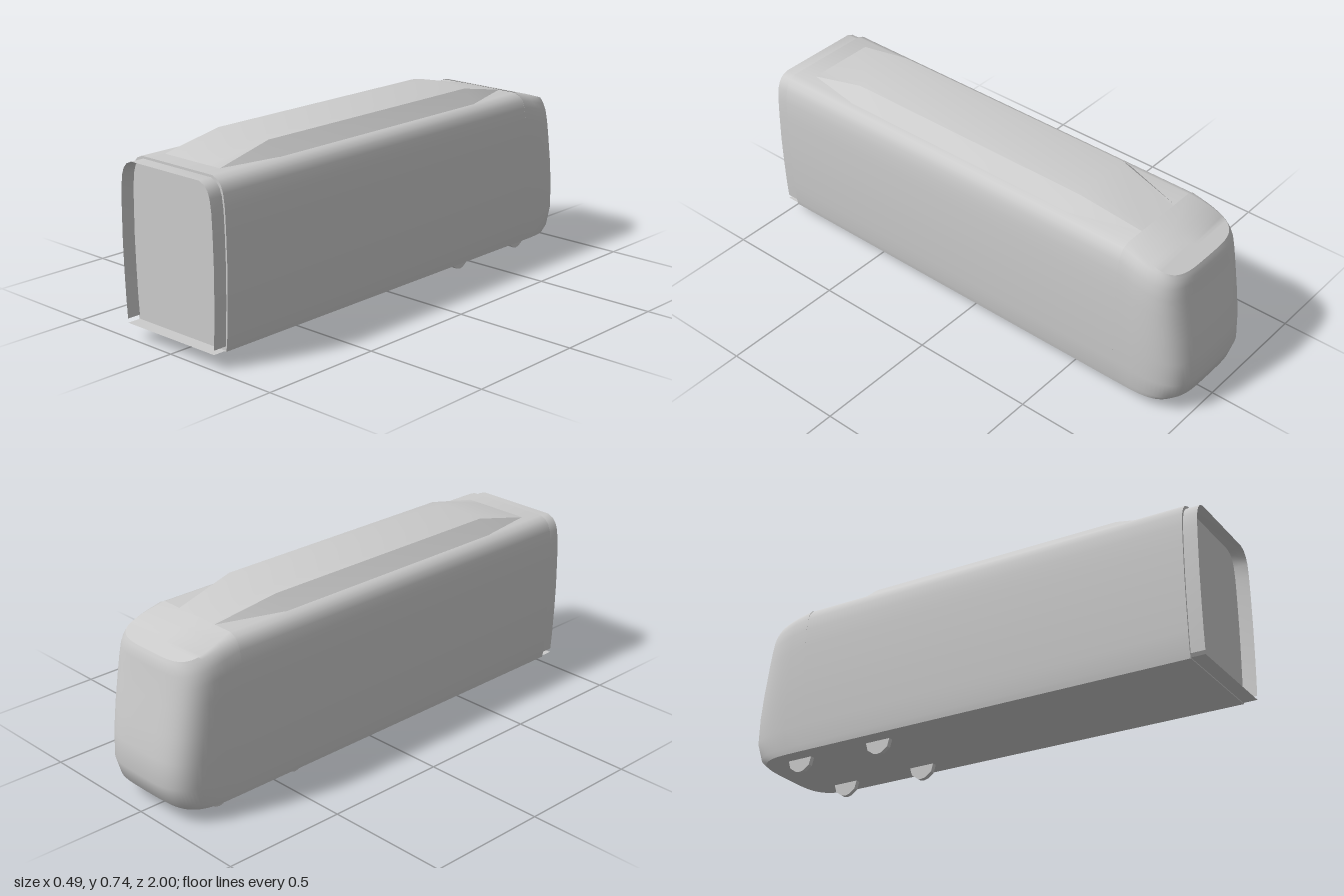
import * as THREE from 'three';
import { toCreasedNormals } from 'three/addons/utils/BufferGeometryUtils.js';

const shell = new THREE.MeshStandardMaterial({ color: 0xcccccc, side: THREE.DoubleSide });
shell.name = 'light grey';

// Half cross-section of the carriage, bottom to roof: [x, y]
const SECTION = [
  [0.23, 0.055], [0.235, 0.08], [0.24, 0.16], [0.244, 0.27], [0.246, 0.38], [0.244, 0.5],
  [0.241, 0.575], [0.234, 0.625], [0.224, 0.651], [0.208, 0.669], [0.182, 0.68],
];

// Skin a grid of points (rows of equal length)
function loft(rows, crease) {
  const n = rows[0].length, index = [];
  for (let r = 0; r < rows.length - 1; r++) {
    for (let c = 0; c < n - 1; c++) {
      const a = r * n + c, b = a + 1, d = a + n, e = d + 1;
      index.push(a, b, d, b, e, d);
    }
  }
  const g = new THREE.BufferGeometry();
  g.setAttribute('position', new THREE.Float32BufferAttribute(rows.flat(2), 3));
  g.setIndex(index);
  return toCreasedNormals(g, crease);
}

// Piecewise linear lookup in [[key, value], ...] with rising keys
function lookup(table, k) {
  for (let i = 1; i < table.length; i++) {
    const [k0, v0] = table[i - 1], [k1, v1] = table[i];
    if (k <= k1) return THREE.MathUtils.lerp(v0, v1, Math.max(0, (k - k0) / (k1 - k0)));
  }
  return table[table.length - 1][1];
}

const mirrored = (half) => [...half, ...half.slice().reverse().map(([x, y]) => [-x, y])];

// Constant-section carriage body with closed ends
function bodyGeometry() {
  const shape = new THREE.Shape(mirrored(SECTION).map(([x, y]) => new THREE.Vector2(x, y)));
  const g = new THREE.ExtrudeGeometry(shape, { depth: 1.655, bevelEnabled: false });
  g.translate(0, 0, -0.71);
  return toCreasedNormals(g, 0.7);
}

// Cab: stacked outlines with rounded corners, sloping roof and raked nose
function cabGeometry() {
  const back = -0.71, y0 = 0.055, yTop = 0.68, steps = 36;
  const nose = [[0, -0.95], [0.03, -0.972], [0.1, -0.994], [0.23, -1], [0.5, -0.977],
    [0.8, -0.948], [0.96, -0.935], [1, -0.925]];
  const roof = [[-0.93, 0.615], [-0.78, 0.664], [-0.71, 0.682]];
  const row = (w, t, spread) => {
    const points = [];
    for (let i = 0; i <= steps; i++) {
      const a = (Math.PI * i) / steps;
      const cx = Math.sign(Math.cos(a)) * Math.sqrt(Math.abs(Math.cos(a)));
      const cz = Math.sqrt(Math.max(0, Math.sin(a)));
      const top = lookup(roof, back + (-0.925 - back) * cz);
      const width = THREE.MathUtils.lerp(w, Math.max(w, 0.218), cz);
      points.push([spread * width * cx, y0 + (top - y0) * t, back + (lookup(nose, t) - back) * cz]);
    }
    return points;
  };
  const rows = SECTION.map(([x, y]) => row(x, (y - y0) / (yTop - y0), 1));
  return loft([row(0.23, 0, 0), ...rows, row(0.182, 1, 0)], 0.75);
}

// Long roof fairing, tapering down to the roof at both ends
function fairingGeometry() {
  const stations = [[0.88, 0.145, 0.14, 0], [0.63, 0.185, 0.13, 1],
    [-0.45, 0.185, 0.13, 1], [-0.72, 0.1, 0.095, 0]];
  return loft(stations.map(([z, base, top, h]) =>
    mirrored([[base, 0.678], [top, 0.678 + 0.055 * h], [0.08, 0.678 + 0.061 * h]])
      .map(([x, y]) => [x, y, z])), 0.6);
}

// Open gangway hood around the end wall
function hoodGeometry() {
  const half = SECTION.slice(1).map(([x, y]) => [x - 0.007, y - 0.009]);
  half[0][1] = 0.075;
  const rim = mirrored(half);
  return loft([0.94, 1].map((z) => rim.map(([x, y]) => [x, y, z])), 0.7);
}

// Lower half of a wheel showing below the floor
function wheelGeometry() {
  const points = [[-0.055, 0.057], [-0.045, 0.023], [-0.018, 0.004], [0, 0],
    [0.018, 0.004], [0.045, 0.023], [0.055, 0.057]];
  const shape = new THREE.Shape(points.map(([x, y]) => new THREE.Vector2(x, y)));
  const g = new THREE.ExtrudeGeometry(shape, { depth: 0.02, bevelEnabled: false });
  g.translate(0, 0, -0.01);
  g.rotateY(Math.PI / 2);
  return g;
}

export function createModel() {
  const model = new THREE.Group();
  model.name = 'railCar';
  const add = (name, geometry, x = 0, y = 0, z = 0) => {
    const mesh = new THREE.Mesh(geometry, shell);
    mesh.name = name;
    mesh.position.set(x, y, z);
    model.add(mesh);
  };

  add('carBody', bodyGeometry());
  add('cab', cabGeometry());
  add('roofFairing', fairingGeometry());
  add('gangwayHood', hoodGeometry());

  // Thin floor of the gangway
  const floor = new THREE.PlaneGeometry(0.456, 0.06);
  floor.rotateX(-Math.PI / 2);
  add('gangwayFloor', floor, 0, 0.059, 0.97);

  // Two axles under the cab end
  const wheel = wheelGeometry();
  for (const z of [-0.4, -0.77]) {
    for (const side of [1, -1]) add(side > 0 ? 'leftWheel' : 'rightWheel', wheel, side * 0.155, 0, z);
  }
  return model;
}
